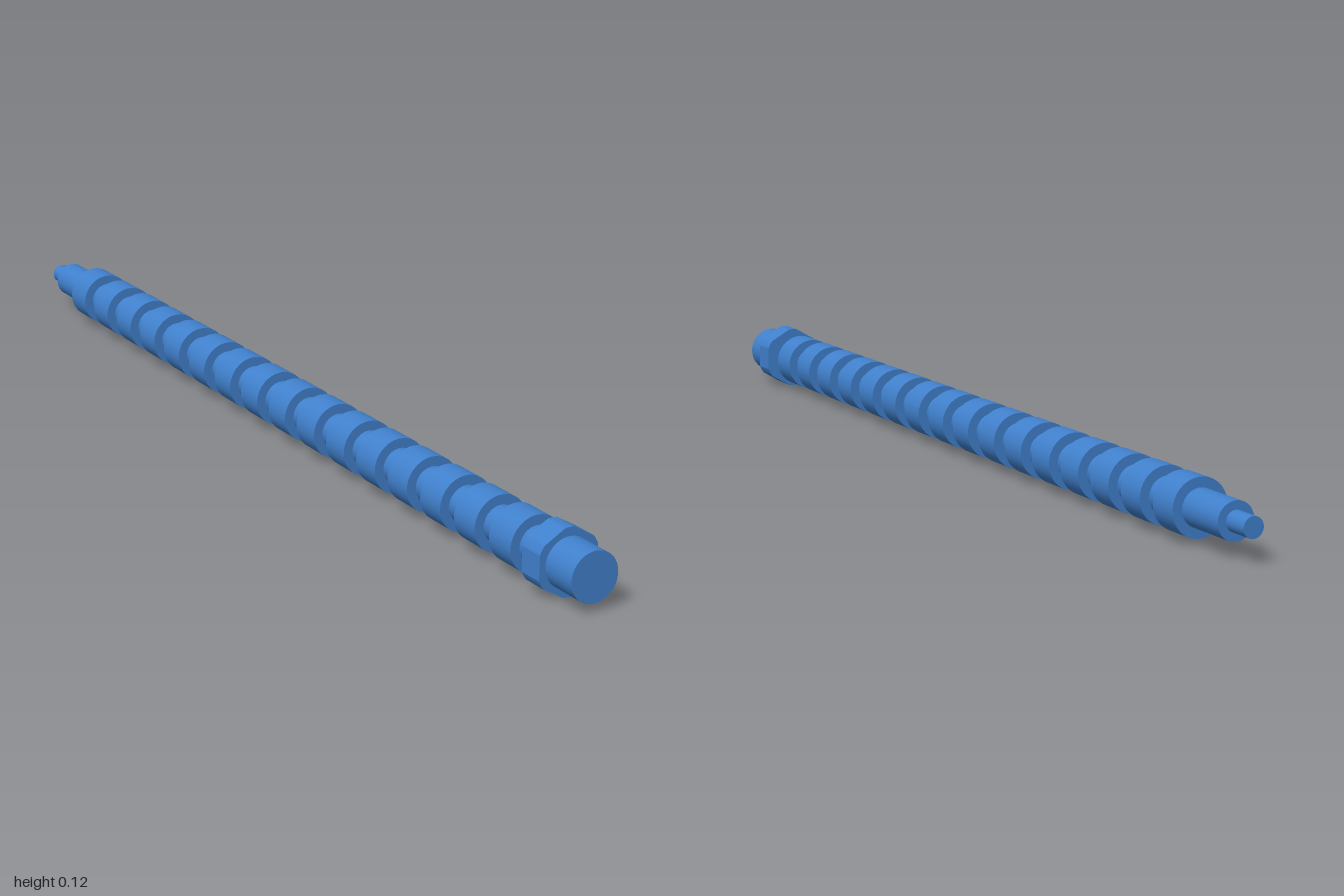
import * as THREE from 'three';

export function createModel() {
  const model = new THREE.Group();
  model.name = 'ringedShaft';
  const blue = new THREE.MeshStandardMaterial({ color: 0x4080cc });
  blue.name = 'blue';
  const axisY = 0.061;

  // Round section of the shaft running from z0 (back) to z1 (front)
  function section(name, radius, z0, z1) {
    const geometry = new THREE.CylinderGeometry(radius, radius, z1 - z0, 48);
    geometry.rotateX(Math.PI / 2);
    const mesh = new THREE.Mesh(geometry, blue);
    mesh.name = name;
    mesh.position.set(0, axisY, (z0 + z1) / 2);
    model.add(mesh);
  }

  section('headCap', 0.0455, 0.92, 1);
  section('core', 0.034, -0.947, 0.9);
  section('tipPin', 0.0187, -1, -0.94);

  // Evenly spaced collars
  const count = 16, pitch = 0.1072, half = 0.032;
  for (let i = 0; i < count; i++) {
    const z = (i - (count - 1) / 2) * pitch;
    section('collar' + (i + 1), 0.052, z - half, z + half);
  }

  // Hexagonal flange, points up, corners trimmed to a circle
  const apothem = 0.0567, radius = 0.061;
  const flat = Math.acos(apothem / radius);
  const shape = new THREE.Shape();
  for (let i = 0; i < 6; i++) {
    const mid = i * Math.PI / 3;
    const x = radius * Math.cos(mid - flat), y = radius * Math.sin(mid - flat);
    if (i === 0) shape.moveTo(x, y);
    shape.lineTo(radius * Math.cos(mid + flat), radius * Math.sin(mid + flat));
    shape.absarc(0, 0, radius, mid + flat, mid + Math.PI / 3 - flat, false);
  }
  const flange = new THREE.Mesh(
    new THREE.ExtrudeGeometry(shape, { depth: 0.05, bevelEnabled: false, curveSegments: 6 }), blue);
  flange.name = 'hexFlange';
  flange.position.set(0, axisY, 0.877);
  model.add(flange);

  return model;
}
